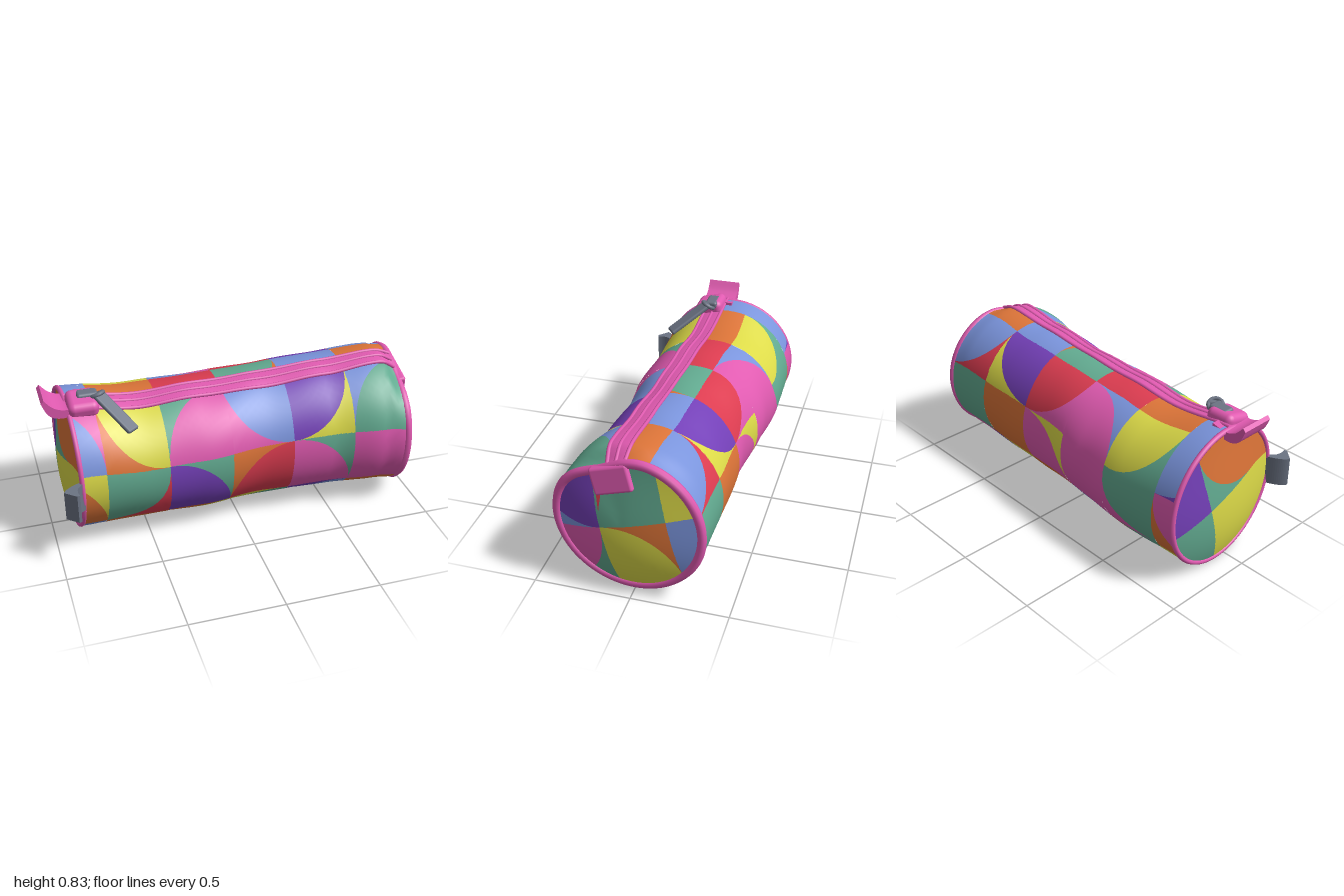
import * as THREE from 'three';
import { RoundedBoxGeometry } from 'three/addons/geometries/RoundedBoxGeometry.js';

const mat = (name, color) => {
  const m = new THREE.MeshStandardMaterial({ color });
  m.name = name;
  return m;
};
const V = (x, y, z) => new THREE.Vector3(x, y, z);
const { clamp, smoothstep } = THREE.MathUtils;
const DEG = Math.PI / 180;
const X0 = -0.87, X1 = 0.925;

// Body sections: x, bottom y, top y, back z, front z
const SECTIONS = [
  [-0.87, 0.01, 0.77, -0.42, 0.335],
  [-0.5, 0.015, 0.73, -0.43, 0.335],
  [-0.2, 0.02, 0.745, -0.405, 0.345],
  [0.15, 0.02, 0.76, -0.37, 0.312],
  [0.5, 0.025, 0.78, -0.372, 0.335],
  [0.8, 0.03, 0.8, -0.37, 0.39],
  [0.925, 0.03, 0.79, -0.365, 0.41],
];

function sectionAt(x) {
  let i = 0;
  while (i < SECTIONS.length - 2 && x > SECTIONS[i + 1][0]) i++;
  const a = SECTIONS[i], b = SECTIONS[i + 1];
  const t = smoothstep(x, a[0], b[0]);
  const [, y0, y1, z0, z1] = a.map((v, k) => v + (b[k] - v) * t);
  return { cy: (y0 + y1) / 2, ry: (y1 - y0) / 2, cz: (z0 + z1) / 2, rz: (z1 - z0) / 2 };
}

// Soft fabric tube: a = 0 is the front, 90 the top, 180 the back
function skin(x, aDeg, lift = 0) {
  const a = aDeg * DEG, s = sectionAt(x);
  const fade = Math.max(0, 1 - (x / 0.87) ** 2);
  const dip = 0.14 * Math.exp(-(((aDeg - 66) / 26) ** 2)) * smoothstep(x, 0.84, X1);
  const r = 1 + lift - dip + fade * (0.005 * Math.sin(9 * x + 3 * a) + 0.005 * Math.sin(17 * x - 5 * a));
  const y = s.cy + s.ry * r * Math.sin(a), z = s.cz + s.rz * r * Math.cos(a);
  const slant = 0.045 * smoothstep(-x, 0.4, 0.87) - 0.07 * smoothstep(x, 0.4, X1);
  return V(x + z * slant, y, z);
}

// Angle of a line running along the zip, off = distance towards the front
function zipAngle(x, off) {
  const s = sectionAt(x);
  return Math.acos((0.055 + 0.025 * x + off - s.cz) / s.rz) / DEG;
}

// Bulging end panel over a unit disc, seen from outside, fuller towards the bottom
function capSkin(end, p, q, bulge) {
  const side = Math.sign(end), r = Math.hypot(p, q), a = Math.atan2(q, -side * p) / DEG;
  const c = skin(end, 0).add(skin(end, 180)).multiplyScalar(0.5);
  const out = c.clone().lerp(skin(end, a < -90 ? a + 360 : a), r);
  out.x += side * bulge * (1 - r * r) * (1 - 0.7 * q);
  return out;
}

// Collects triangles of one colour on a surface f(u, v)
class Patchwork {
  constructor() { this.bins = {}; }
  grid(color, f, map, ns, nt, flip) {
    const bin = (this.bins[color] ??= { pos: [], nor: [] });
    const e = 0.004;
    const vertex = (s, t) => {
      const [u, v] = map(s, t);
      const du = f(u + e, v).sub(f(u - e, v)), dv = f(u, v + e).sub(f(u, v - e));
      return { p: f(u, v), n: du.cross(dv).normalize() };
    };
    const P = [];
    for (let i = 0; i <= ns; i++) {
      P.push([]);
      for (let j = 0; j <= nt; j++) P[i].push(vertex(i / ns, j / nt));
    }
    const tri = (a, b, c) => {
      if (b.p.clone().sub(a.p).cross(c.p.clone().sub(a.p)).length() < 1e-8) return;
      for (const k of flip ? [a, c, b] : [a, b, c]) {
        bin.pos.push(...k.p.toArray());
        bin.nor.push(...k.n.toArray());
      }
    };
    for (let i = 0; i < ns; i++) for (let j = 0; j < nt; j++) {
      const a = P[i][j], b = P[i + 1][j], c = P[i + 1][j + 1], d = P[i][j + 1];
      tri(a, b, c);
      tri(a, c, d);
    }
  }
  // Tile code: base colour, quarter-disc colour, disc corner (0 BL, 1 BR, 2 TL, 3 TR)
  tile(code, f, place) {
    const fx = code[2] & 1, fy = code[2] >> 1;
    // tiles overlap by a hair so the seams stay closed
    const over = (k) => 0.5 + (k - 0.5) * 1.004;
    const at = (x, y) => place(over(fx ? 1 - x : x), over(fy ? 1 - y : y));
    const ring = (outer) => (s, t) => {
      const c = Math.cos(t * Math.PI / 2), d = Math.sin(t * Math.PI / 2);
      const r = outer ? 1 + s * (1 / Math.max(c, d) - 1) : s;
      return at(r * c, r * d);
    };
    this.grid(code[1], f, ring(false), 10, 12, fx !== fy);
    this.grid(code[0], f, ring(true), 5, 12, fx !== fy);
  }
  build(name, mats) {
    const g = new THREE.Group();
    g.name = name;
    for (const [key, { pos, nor }] of Object.entries(this.bins)) {
      const geo = new THREE.BufferGeometry();
      geo.setAttribute('position', new THREE.Float32BufferAttribute(pos, 3));
      geo.setAttribute('normal', new THREE.Float32BufferAttribute(nor, 3));
      const m = new THREE.Mesh(geo, mats[key]);
      m.name = `${name} ${mats[key].name}`;
      g.add(m);
    }
    return g;
  }
}

// Rows of tiles round the body: start angle, end angle, tiles along x
const ROWS = [
  [-95, -42, 'BB0 PO2 OY1 YT1 UB1 BO3'],
  [-42, 14, 'YO0 RT2 TU0 OR1 TP0 PP0'],
  [14, 76, 'PB0 OY3 TP1 PB3 YU2 BT1'],
  [53, 107, 'BB0 OO0 RR0 OT2 BB0 OO0'],
  [107, 160, 'UB1 TY1 BP3 PR1 YU0 RB1'],
  [160, 213, 'OP0 PT0 PP0 YP3 OO0 TT0'],
  [213, 265, 'PY0 TR3 YB0 BO1 YU3 TP0'],
];
const RIGHT_CAP = ['TT0 YY0 OO0', 'TP2 OY0 BB0', 'BU3 TT0 OY0', 'RR0 TT0 OO0'];
const LEFT_CAP = ['PP0 PY3 YY0', 'PT3 YY0 OY0', 'UU0 TO3 YO0', 'UU0 UU0 OO0'];

export function createModel() {
  const M = {
    P: mat('pink', 0xe05ab0), U: mat('purple', 0x7440b8), Y: mat('yellow', 0xdcda48),
    R: mat('red', 0xdc3c50), T: mat('teal', 0x62aa90), O: mat('orange', 0xdc7438),
    B: mat('blue', 0x7a94dc), G: mat('grey', 0x6c7484),
  };
  const model = new THREE.Group();
  model.name = 'pencilCase';
  const add = (name, geo, m) => {
    const mesh = new THREE.Mesh(geo, m);
    mesh.name = name;
    model.add(mesh);
    return mesh;
  };
  const tube = (name, pts, r, m, closed = false) =>
    add(name, new THREE.TubeGeometry(new THREE.CatmullRomCurve3(pts, closed), 96, r, 8, closed), m);

  // Patchwork body, trimmed along the zip
  const body = new Patchwork();
  ROWS.forEach(([a0, a1, codes], row) => codes.split(' ').forEach((code, i) => {
    body.tile(code, skin, (u, v) => {
      const x = clamp(-1.08 + 0.34 * (i + u), X0, X1);
      const a = a0 + (a1 - a0) * v;
      if (row === 2) return [x, Math.min(a, zipAngle(x, 0.05))];
      return [x, row === 3 ? Math.max(a, zipAngle(x, -0.05)) : a];
    });
  }));
  model.add(body.build('body', M));

  // Patchwork end panels, tiles set at a slant
  const ENDS = [['rightPanel', X1, RIGHT_CAP, 0.062, 0.024], ['leftPanel', X0, LEFT_CAP, 0.045, 0.014]];
  for (const [name, end, rows, bulge, piping] of ENDS) {
    const cap = new Patchwork();
    rows.forEach((row, j) => row.split(' ').forEach((code, i) => {
      cap.tile(code, (p, q) => capSkin(end, p, q, bulge), (u, v) => {
        const s = i - 1 + u, t = j - 2 + v;
        const p = -0.33 + 0.85 * s - 0.21 * t, q = -0.05 + 0.26 * s + 0.87 * t;
        const k = Math.max(1, Math.hypot(p, q));
        return [p / k, q / k];
      });
    }));
    // Red sliver beside the tab
    if (end > 0) cap.grid('R', (p, q) => capSkin(end, p, q, bulge).add(V(0.003, 0, 0)),
      (s, t) => [-0.35 - 0.14 * t + 0.12 * s * t, 0.18 + 0.56 * t], 3, 8, false);
    model.add(cap.build(name, M));
    // Piping round the end
    const ring = [];
    for (let a = -90; a < 270; a += 12) ring.push(skin(end, a, -1.8 * piping));
    tube(name + 'Piping', ring, piping, M.P, true);
  }

  // Zip tape with piped edges and a coil
  const zip = new Patchwork();
  zip.grid('P', (x, off) => skin(x, zipAngle(x, off), 0.012),
    (s, t) => [X0 + (X1 - X0) * s, 0.055 - 0.11 * t], 60, 6, false);
  model.add(zip.build('zipTape', M));
  for (const [name, off, r] of [['zipEdgeFront', 0.052, 0.01], ['zipEdgeBack', -0.052, 0.01], ['zipCoil', 0, 0.009]]) {
    const pts = [];
    for (let i = 0; i <= 24; i++) {
      const x = X0 + (X1 - X0) * i / 24;
      pts.push(skin(x, zipAngle(x, off), 0.01));
    }
    tube(name, pts, r, M.P);
  }

  // Zip end stop and strap loop
  const stop = add('zipEndStop', new RoundedBoxGeometry(0.16, 0.09, 0.16, 3, 0.035), M.P);
  stop.position.set(-0.79, 0.758, 0.06);
  stop.rotation.x = 0.25;
  const points = (list) => list.map(([x, y]) => new THREE.Vector2(x, y));
  const strap = new THREE.Shape();
  strap.moveTo(-0.8, 0.78);
  strap.splineThru(points([[-0.88, 0.765], [-0.94, 0.785], [-0.985, 0.832]]));
  strap.lineTo(-1.0, 0.815);
  strap.splineThru(points([[-0.965, 0.745], [-0.9, 0.72], [-0.8, 0.74]]));
  const strapGeo = new THREE.ExtrudeGeometry(strap, { depth: 0.18, bevelEnabled: false, curveSegments: 16 });
  add('strapLoop', strapGeo.translate(0, 0, -0.06), M.P);

  // Fabric tab over the right rim
  const tab = add('rightTab', new RoundedBoxGeometry(0.08, 0.14, 0.2, 3, 0.015), M.P);
  tab.position.set(0.922, 0.66, 0.09);
  tab.rotation.set(0.3, 0, 0.15);

  // Zip slider, ring and pull
  const slider = add('zipSlider', new RoundedBoxGeometry(0.11, 0.04, 0.07, 3, 0.015), M.G);
  slider.position.set(-0.76, 0.795, 0.045);
  const link = add('pullRing', new THREE.TorusGeometry(0.035, 0.011, 8, 20), M.G);
  link.position.set(-0.71, 0.795, 0.06);
  link.rotation.set(1.1, 0.3, 0);
  const from = V(-0.71, 0.805, 0.06), to = V(-0.565, 0.665, 0.25);
  const pull = add('zipPull', new RoundedBoxGeometry(0.075, 0.025, from.distanceTo(to), 3, 0.011), M.G);
  pull.position.copy(from).lerp(to, 0.5);
  pull.lookAt(to);

  // Grey side tag, a short curved strip
  const tag = new THREE.Shape();
  tag.moveTo(-0.86, -0.31);
  tag.quadraticCurveTo(-0.94, -0.34, -0.958, -0.38);
  tag.lineTo(-0.9, -0.43);
  tag.lineTo(-0.885, -0.425);
  tag.quadraticCurveTo(-0.905, -0.36, -0.85, -0.33);
  const tagGeo = new THREE.ExtrudeGeometry(tag, { depth: 0.16, bevelEnabled: false });
  add('sideTag', tagGeo.rotateX(-Math.PI / 2).translate(0, 0.29, 0), M.G);

  return model;
}
